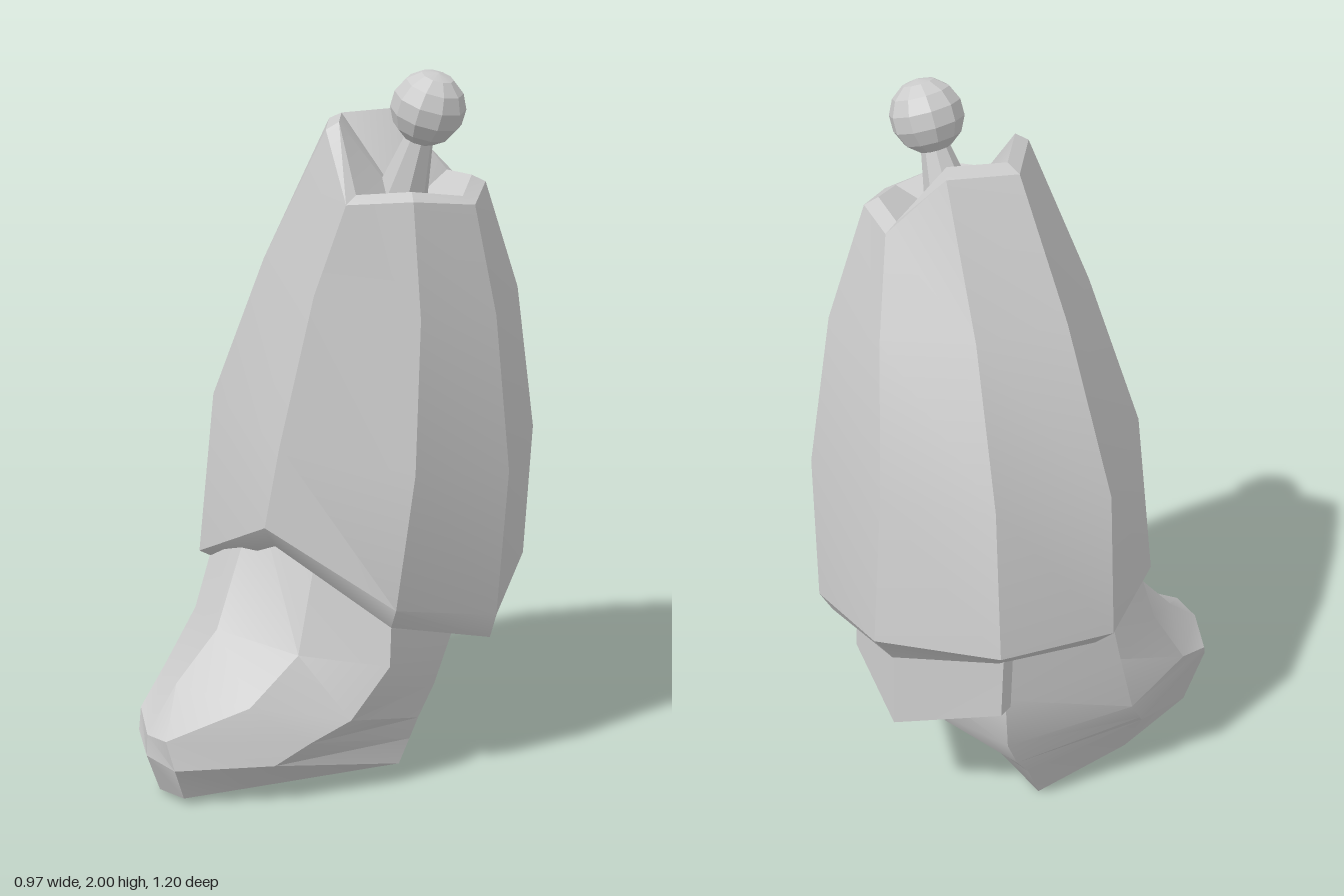
import * as THREE from 'three';
import { toCreasedNormals } from 'three/addons/utils/BufferGeometryUtils.js';

const material = new THREE.MeshStandardMaterial({ color: 0xcccccc });

function addMesh(parent, name, geometry) {
  const mesh = new THREE.Mesh(geometry, material);
  mesh.name = name;
  parent.add(mesh);
  return mesh;
}

const centroid = ring => [0, 1, 2].map(k => ring.reduce((s, p) => s + p[k], 0) / ring.length);

// Skin closed cross-sections (counter-clockwise seen from the first end) and cap both ends
function loft(rings, startApex = centroid(rings[0])) {
  const n = rings[0].length;
  const endApex = centroid(rings.at(-1));
  const positions = [];
  const tri = (...points) => points.forEach(p => positions.push(...p));
  for (let j = 0; j < n; j++) {
    const k = (j + 1) % n;
    tri(startApex, rings[0][j], rings[0][k]);
    for (let i = 0; i < rings.length - 1; i++) {
      const a = rings[i], b = rings[i + 1];
      tri(a[j], b[j], b[k]);
      tri(a[j], b[k], a[k]);
    }
    tri(endApex, rings.at(-1)[k], rings.at(-1)[j]);
  }
  const geometry = new THREE.BufferGeometry();
  geometry.setAttribute('position', new THREE.Float32BufferAttribute(positions, 3));
  return toCreasedNormals(geometry, 0.45);
}

// Scale a ring about a centre in plan and shift it in height
const inset = (ring, cx, cz, s, dy) =>
  ring.map(([x, y, z]) => [cx + (x - cx) * s, y + dy, cz + (z - cz) * s]);

export function createModel() {
  const model = new THREE.Group();
  model.name = 'leg';

  // Trouser leg: eight-sided rings from waist to hem, starting at the front
  const trouser = [
    [[.17, 1.67, .215], [.32, 1.68, .12], [.39, 1.65, -.07], [.32, 1.68, -.23],
      [.17, 1.67, -.31], [.025, 1.84, -.23], [-.09, 1.835, -.07], [.025, 1.84, .105]],
    [[.09, 1.42, .25], [.36, 1.37, .14], [.45, 1.35, -.09], [.36, 1.37, -.34],
      [.09, 1.42, -.43], [-.16, 1.46, -.33], [-.28, 1.47, -.10], [-.16, 1.47, .14]],
    [[.01, 1.00, .30], [.37, .95, .175], [.48, .91, -.12], [.37, .95, -.42],
      [0, 1.03, -.54], [-.31, 1.05, -.43], [-.46, 1.02, -.13], [-.31, 1.07, .18]],
    [[-.02, .77, .33], [.32, .56, .19], [.44, .48, -.13], [.32, .55, -.46],
      [-.02, .61, -.60], [-.36, .63, -.47], [-.485, .60, -.14], [-.36, .60, .19]],
    [[-.03, .70, .27], [.29, .50, .17], [.42, .41, -.13], [.29, .50, -.44],
      [-.02, .52, -.53], [-.31, .57, -.42], [-.42, .54, -.14], [-.31, .57, .15]],
  ];
  // Waist rim with a sunken pocket, and a hollow turned-in hem
  const rim = inset(trouser[0], .17, -.05, .83, .02);
  const hem = inset(trouser[4], 0, -.14, .88, 0);
  const hollow = inset(hem, 0, -.14, .95, .2);
  addMesh(model, 'trouserLeg', loft([rim, ...trouser, hem, hollow], [.18, 1.62, -.05]));

  // Boot turned outwards: rings from shin to sole, starting at the toe ridge
  addMesh(model, 'boot', loft([
    [[-.16, .80, .18], [.07, .80, .18], [.24, .80, .08], [.27, .80, -.13],
      [.03, .80, -.36], [-.26, .80, -.32], [-.35, .80, -.06], [-.30, .80, .12]],
    [[-.19, .44, .33], [.07, .41, .30], [.28, .38, .16], [.30, .42, -.13],
      [.05, .42, -.44], [-.30, .42, -.38], [-.42, .42, -.02], [-.37, .43, .20]],
    [[-.25, .30, .44], [0, .28, .43], [.22, .24, .26], [.28, .26, -.06],
      [.05, .26, -.38], [-.30, .26, -.37], [-.45, .26, 0], [-.42, .27, .28]],
    [[-.25, .19, .57], [-.16, .20, .60], [.14, .18, .34], [.26, .17, -.01],
      [.03, .18, -.28], [-.30, .18, -.33], [-.44, .19, .05], [-.38, .20, .44]],
    [[-.25, .13, .575], [-.13, .12, .60], [.07, .12, .41], [.245, .11, .01],
      [0, .12, -.20], [-.30, .12, -.28], [-.41, .14, .10], [-.355, .15, .48]],
    [[-.25, .01, .52], [-.14, .02, .55], [-.02, .025, .38], [.23, .04, .04],
      [-.02, .01, -.09], [-.28, 0, -.21], [-.35, .02, .10], [-.34, .02, .40]],
  ]));

  // Bent pointed plate hanging under the back of the hem: x, outer z, bottom y
  const plateSections = [[.22, -.42, .40], [-.02, -.53, .30], [-.31, -.41, .39]]
    .map(([x, z, y]) => [[x, y + .01, z + .04], [x, y, z], [x, .56, z + .01], [x, .56, z + .05]]);
  addMesh(model, 'heelPlate', loft(plateSections));

  // Tilted ball joint standing in the waist pocket
  const joint = new THREE.Group();
  joint.name = 'hipJoint';
  joint.position.set(.25, 1.9, -.05);
  joint.rotation.z = -.33;
  const crease = g => toCreasedNormals(g, 0.3);
  addMesh(joint, 'ball', crease(new THREE.SphereGeometry(.102, 10, 7)));
  addMesh(joint, 'stem', crease(new THREE.CylinderGeometry(.035, .08, .23, 8))).position.y = -.18;
  model.add(joint);

  return model;
}
